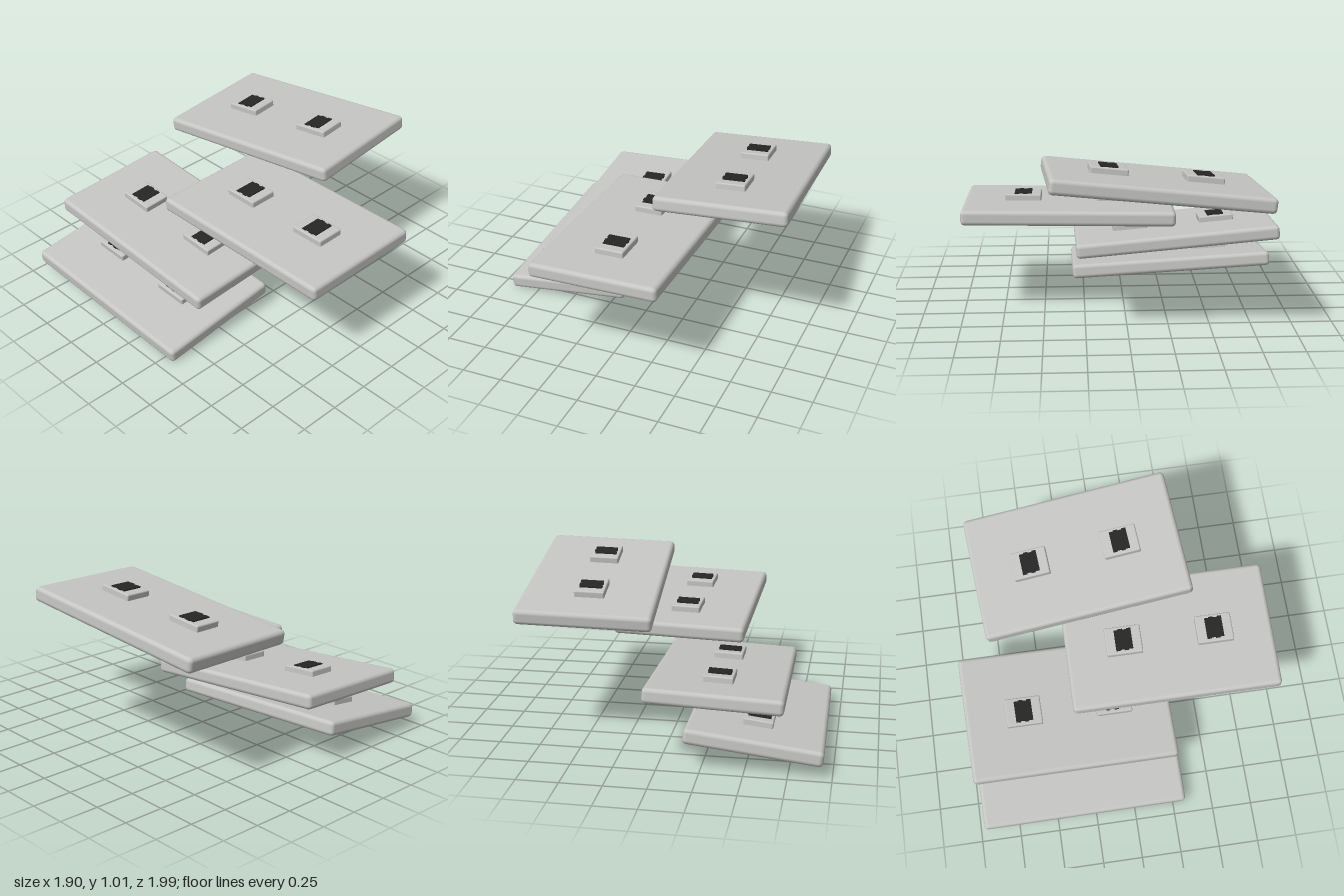
import * as THREE from 'three';
import { RoundedBoxGeometry } from 'three/addons/geometries/RoundedBoxGeometry.js';

const slabGrey = new THREE.MeshStandardMaterial({ color: 0xc6c6c4 });
slabGrey.name = 'slabGrey';
const inlayBlack = new THREE.MeshStandardMaterial({ color: 0x262626 });
inlayBlack.name = 'inlayBlack';

const WIDTH = 0.805, LENGTH = 1.3, THICK = 0.092, PAD_HEIGHT = 0.038;

const slabGeometry = new RoundedBoxGeometry(WIDTH, THICK, LENGTH, 2, 0.026);
const padGeometry = new RoundedBoxGeometry(0.18, PAD_HEIGHT + 0.02, 0.225, 2, 0.009);
const stripGeometry = new THREE.BoxGeometry(0.135, 0.008, 0.027);

function part(name, geometry, material, x, y, z) {
  const mesh = new THREE.Mesh(geometry, material);
  mesh.name = name;
  mesh.position.set(x, y, z);
  return mesh;
}

// Raised pad with a dark inlay of slightly staggered strips
function makePad(z) {
  const pad = new THREE.Group();
  pad.name = 'pad';
  pad.position.set(0, THICK / 2, z);
  pad.add(part('padBase', padGeometry, slabGrey, 0, PAD_HEIGHT / 2 - 0.01, 0));
  for (let i = 0; i < 4; i++) {
    const x = i % 2 ? 0.003 : -0.003;
    pad.add(part('inlayStrip', stripGeometry, inlayBlack, x, PAD_HEIGHT + 0.003, (i - 1.5) * 0.0265));
  }
  return pad;
}

// Floating slab carrying two pads
function makeSlab({ name, at, pitch, yaw, roll }) {
  const slab = new THREE.Group();
  slab.name = name;
  slab.position.set(...at);
  slab.rotation.set(pitch, yaw, roll, 'YXZ');
  slab.add(part('slabBody', slabGeometry, slabGrey, 0, 0, 0));
  for (const z of [-0.285, 0.285]) slab.add(makePad(z));
  return slab;
}

export function createModel() {
  const model = new THREE.Group();
  model.name = 'floatingSlabs';
  const slabs = [
    { name: 'lowestSlab', at: [-0.54, 0.124, -0.323], pitch: 0.054, yaw: 0.015, roll: 0.119 },
    { name: 'lowerSlab', at: [-0.308, 0.374, -0.343], pitch: 0.083, yaw: 0.02, roll: 0.045 },
    { name: 'upperSlab', at: [-0.018, 0.621, 0.342], pitch: -0.016, yaw: -0.008, roll: 0.026 },
    { name: 'highestSlab', at: [0.505, 0.875, -0.163], pitch: -0.115, yaw: 0.07, roll: 0.036 },
  ];
  for (const s of slabs) model.add(makeSlab(s));
  return model;
}
